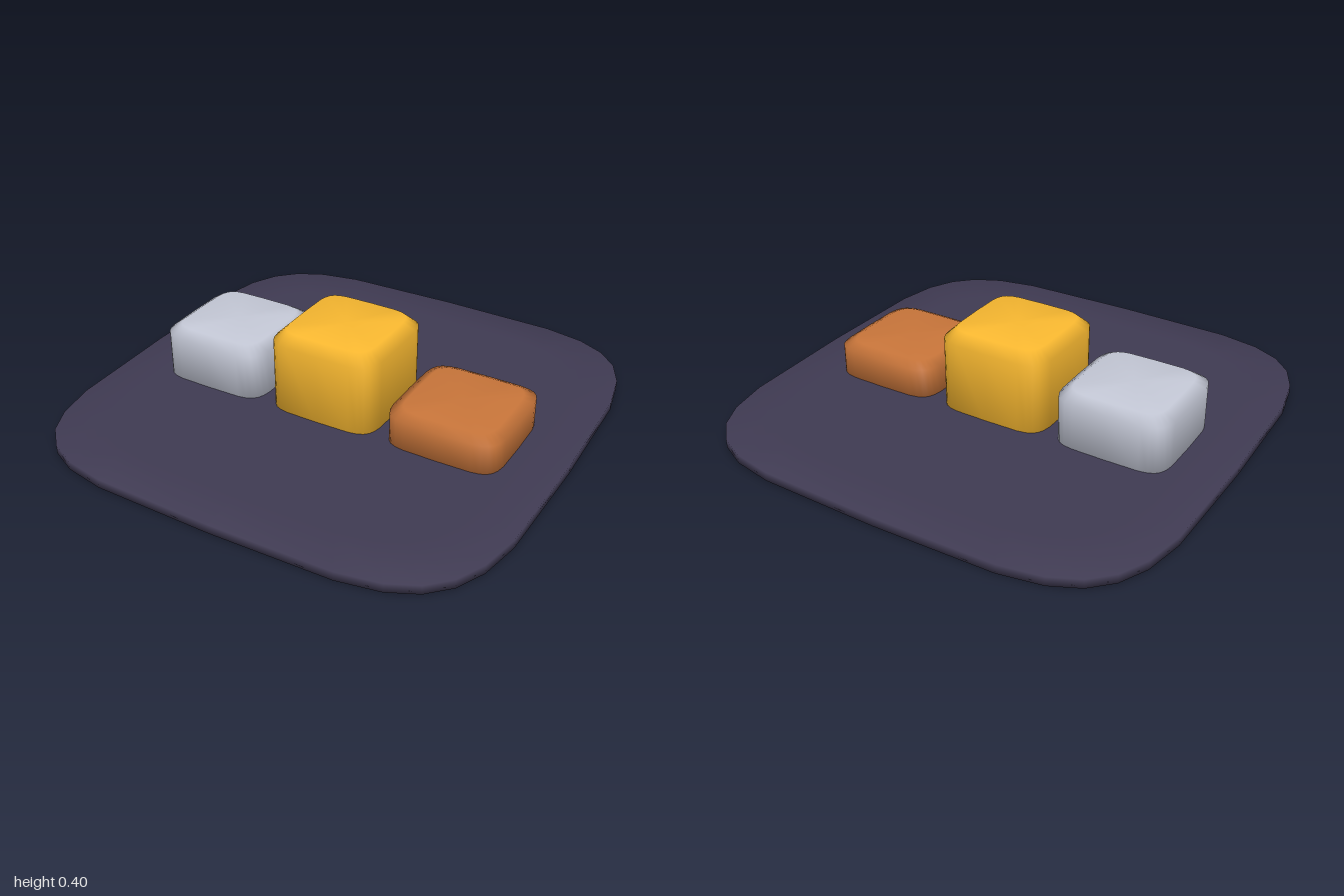
import * as THREE from 'three';
import { mergeVertices } from 'three/addons/utils/BufferGeometryUtils.js';

// Soft slab: a lathe whose round outline is squared off into a superellipse
function softSlab(half, bottom, top, power, chamferBottom) {
  const height = top, edge = 0.11 * height, inset = 0.82;
  const lower = chamferBottom
    ? [[0, bottom], [inset, bottom], [1, bottom + edge]]
    : [[0, bottom], [1, bottom]];
  const profile = [...lower, [1, top - edge], [inset, top], [0, top]]
    .map(([r, y]) => new THREE.Vector2(r * half, y));
  let geometry = new THREE.LatheGeometry(profile, 28);
  const pos = geometry.attributes.position;
  const squared = (v) => Math.sign(v) * Math.abs(v) ** power;
  for (let i = 0; i < pos.count; i++) {
    const x = pos.getX(i), z = pos.getZ(i), r = Math.hypot(x, z);
    if (r > 1e-6) {
      pos.setX(i, r * squared(x / r));
      pos.setZ(i, r * squared(z / r));
    }
  }
  // Weld the seam and poles so the shading is smooth all round
  geometry.deleteAttribute('uv');
  geometry.deleteAttribute('normal');
  geometry = mergeVertices(geometry);
  geometry.computeVertexNormals();
  return geometry;
}

export function createModel() {
  const model = new THREE.Group();
  model.name = 'podium';

  const add = (name, geometry, color, x = 0) => {
    const mesh = new THREE.Mesh(geometry, new THREE.MeshStandardMaterial({ color }));
    mesh.name = name;
    mesh.position.x = x;
    model.add(mesh);
  };

  // Thin base plate
  add('basePlate', softSlab(1, 0, 0.05, 0.435, true), 0x3f3a52);

  // Three steps, sunk into the plate
  const steps = [
    ['secondPlaceStep', -0.54, 0.28, 0xc4c8d6],
    ['firstPlaceStep', 0, 0.4, 0xf8b830],
    ['thirdPlaceStep', 0.54, 0.2, 0xc8753a],
  ];
  for (const [name, x, top, color] of steps) {
    add(name, softSlab(0.245, 0.02, top, 0.35, false), color, x);
  }

  return model;
}
